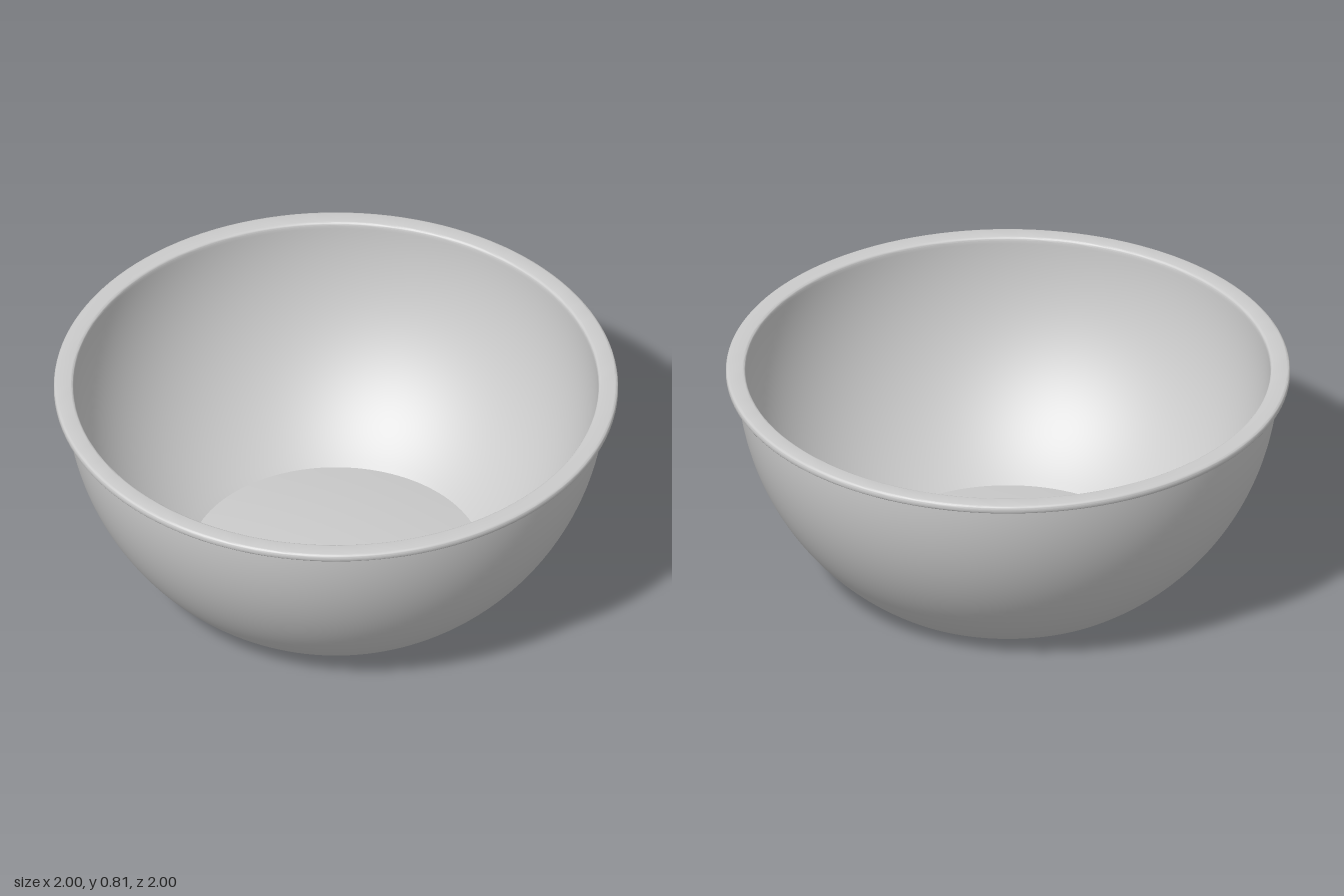
import * as THREE from 'three';
import { toCreasedNormals } from 'three/addons/utils/BufferGeometryUtils.js';

const SEGMENTS = 128;
const material = new THREE.MeshStandardMaterial({ color: 0xcccccc });

// Points on a circular arc, angles in radians
function arc(cx, cy, r, from, to, steps) {
  return Array.from({ length: steps + 1 }, (_, i) => {
    const a = from + ((to - from) * i) / steps;
    return [cx + r * Math.cos(a), cy + r * Math.sin(a)];
  });
}

// Shallow dome from the centre out to a radius
function dome(radius, base, rise, steps) {
  return Array.from({ length: steps + 1 }, (_, i) => {
    const t = i / steps;
    return [radius * t, base + rise * (1 - t * t)];
  });
}

function turned(name, points, crease) {
  const profile = points.map(([x, y]) => new THREE.Vector2(Math.max(x, 0), y));
  const geometry = toCreasedNormals(new THREE.LatheGeometry(profile, SEGMENTS), crease);
  const mesh = new THREE.Mesh(geometry, material);
  mesh.name = name;
  return mesh;
}

export function createModel() {
  const group = new THREE.Group();
  group.name = 'mixingBowl';

  // The walls are two concentric spheres cut off by the base and the rim
  const centre = 0.8, outer = 0.96, inner = 0.93;
  const top = 0.805, lip = 0.775, round = 0.011;
  const outerStart = -Math.asin((centre - 0.006) / outer);
  const outerEnd = -Math.asin((centre - lip) / outer);
  const innerEnd = -Math.acos(0.52 / inner);
  const floor = centre + inner * Math.sin(innerEnd);

  // Underside: pushed-in centre, flat foot ring, softened edge
  const underside = [...dome(0.41, 0, 0.035, 10), [0.52, 0], [0.53, 0.002]];

  // Outer wall up to the lip
  const outerWall = arc(0, centre, outer, outerStart, outerEnd, 28);

  // Rolled lip with rounded corners, ending at the inner edge
  const rim = [
    ...arc(1 - round, lip + round, round, -Math.PI / 2, 0, 4),
    ...arc(1 - round, top - round, round, 0, Math.PI / 2, 4),
    ...arc(inner + round, top - round, round, Math.PI / 2, Math.PI, 4),
  ];

  // Inner wall down to the slightly domed floor
  const innerWall = arc(0, centre, inner, -0.02, innerEnd, 28);
  const floorDome = dome(0.52, floor, 0.035, 12).reverse().slice(1);

  group.add(turned('bowl', [...underside, ...outerWall, ...rim, ...innerWall, ...floorDome], 0.5));
  return group;
}
